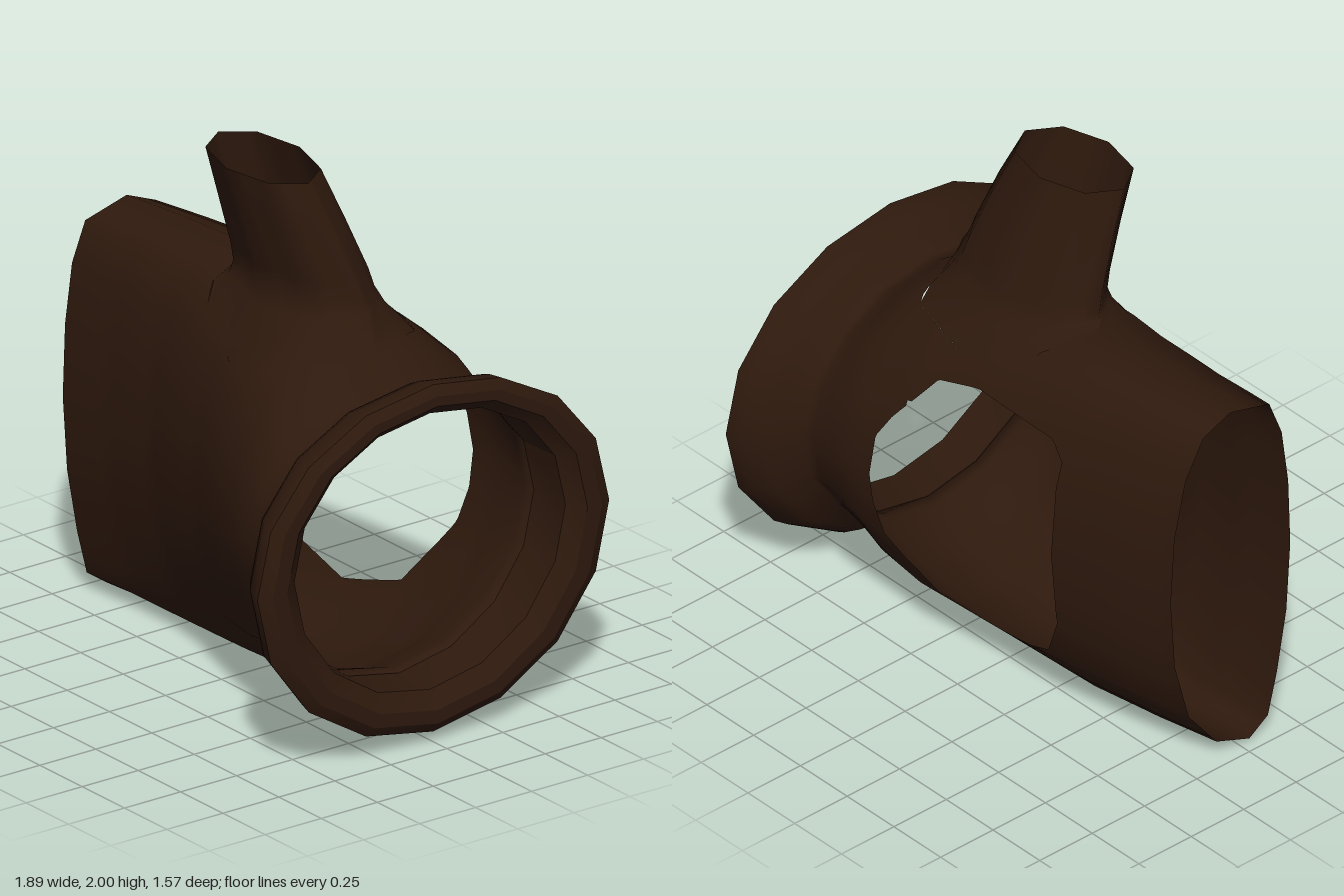
import * as THREE from 'three';
import { toCreasedNormals } from 'three/addons/utils/BufferGeometryUtils.js';

const { sin, cos, abs, sign, PI } = Math;
const V = (x, y, z) => new THREE.Vector3(x, y, z);

// Body sections: x, front z, back z, top y, bottom y
const STATIONS = [
  [-0.95, 0.24, -0.33, 1.48, 0.01], [-0.7, 0.24, -0.39, 1.485, 0.004],
  [-0.4, 0.272, -0.455, 1.492, 0], [0, 0.38, -0.54, 1.49, 0.025],
  [0.26, 0.475, -0.6, 1.455, 0.06], [0.46, 0.54, -0.618, 1.4, 0.115],
  [0.55, 0.56, -0.612, 1.355, 0.16], [0.65, 0.575, -0.602, 1.28, 0.197],
  [0.72, 0.6, -0.6, 1.255, 0.2], [0.77, 0.705, -0.705, 1.33, 0.106],
  [0.85, 0.765, -0.765, 1.369, 0.055], [0.92, 0.785, -0.785, 1.376, 0.04],
];

function station(x) {
  let i = 0;
  while (i < STATIONS.length - 2 && x > STATIONS[i + 1][0]) i++;
  const a = STATIONS[i], b = STATIONS[i + 1];
  const t = THREE.MathUtils.clamp((x - a[0]) / (b[0] - a[0]), 0, 1);
  return a.map((v, k) => v + (b[k] - v) * t);
}

// Rounded point on the wall; angle 0 is the front, PI/2 the top, PI the back.
// The narrow end has fuller upper shoulders and a keel nearer the front.
function roundPoint(x, angle) {
  const [, zf, zb, yt, yb] = station(x);
  const c = cos(angle), s = sin(angle);
  const narrow = 1 - THREE.MathUtils.smoothstep(x, -0.95, 0.9);
  const fullness = s < 0 ? 0.12 : c > 0 ? 0.55 : 0.18;
  const keel = 0.09 * narrow * Math.max(0, -s) ** 6;
  return V(x, (yt + yb) / 2 + (yt - yb) / 2 * s + 0.03 * c * c,
    (zf + zb) / 2 + (zf - zb) / 2 * sign(c) * abs(c) ** (1 - fullness * narrow) + keel);
}

// The same wall with sixteen flat sides
function wallPoint(x, angle) {
  const step = PI / 8, k = Math.floor(angle / step + 1e-6);
  return roundPoint(x, k * step).lerp(roundPoint(x, (k + 1) * step), angle / step - k);
}

// Smooth normal of the rounded wall
function wallNormal(x, angle) {
  const dx = roundPoint(x + 0.05, angle).sub(roundPoint(x - 0.05, angle));
  const da = roundPoint(x, angle + 0.2).sub(roundPoint(x, angle - 0.2));
  return dx.cross(da).normalize();
}

// Unit circle cut to eight flat sides
function octagon(a) {
  const step = PI / 4, k = Math.floor(a / step + 1e-6), t = a / step - k;
  const mix = (f) => f(k * step) * (1 - t) + f((k + 1) * step) * t;
  return [mix(cos), mix(sin)];
}

const ring = (n, fn) => Array.from({ length: n }, (_, j) => fn(j / n * PI * 2));

// Openings are outlined in (x, angle) on the wall
const sideOpening = [
  [-0.44, 0.44], [-0.44, 1.14], [-0.38, 1.21], [-0.03, 1.255], [0.15, 1.22],
  [0.345, 0.92], [0.355, 0.62], [0.31, 0.47], [0.16, 0.25], [-0.09, 0.19], [-0.34, 0.25],
].map(([x, y]) => {
  const [, , , yt, yb] = station(x);
  return [x, PI - Math.asin((2 * y - yt - yb) / (yt - yb))];
});
const SIDES = 24;
const branchOpening = ring(SIDES, (a) => {
  const [c, s] = octagon(a);
  return [0.13 + 0.42 * c, PI / 2 + (s > 0 ? 0.64 : 0.8) * s];
});

function inside([px, py], poly) {
  let hit = false;
  poly.forEach(([ax, ay], i) => {
    const [bx, by] = poly[(i + 1) % poly.length];
    if ((ay > py) !== (by > py) && px < ax + (bx - ax) * (py - ay) / (by - ay)) hit = !hit;
  });
  return hit;
}

// Pull a grid point onto an outline when it lies close to it
function snap(p, poly, reach) {
  const s = 0.6;
  let best = reach, out = p;
  poly.forEach(([ax, ay], i) => {
    const [bx, by] = poly[(i + 1) % poly.length];
    const ex = bx - ax, ey = (by - ay) * s;
    const t = THREE.MathUtils.clamp(
      ((p[0] - ax) * ex + (p[1] - ay) * s * ey) / (ex * ex + ey * ey), 0, 1);
    const q = [ax + (bx - ax) * t, ay + (by - ay) * t];
    const d = Math.hypot(p[0] - q[0], (p[1] - q[1]) * s);
    if (d < best) { best = d; out = q; }
  });
  return out;
}

// Tapering wall and flare, with the two openings left out
function bodyGeometry() {
  const NX = 94, NA = 192, holes = [sideOpening, branchOpening];
  const params = [], pos = [], nor = [], index = [];
  for (let i = 0; i <= NX; i++) {
    for (let j = 0; j <= NA; j++) {
      let p = [-0.95 + 1.87 * i / NX, -PI / 2 + 2 * PI * j / NA];
      for (const h of holes) p = snap(p, h, 0.0135);
      params.push(p);
      pos.push(...wallPoint(...p).toArray());
      nor.push(...wallNormal(...p).toArray());
    }
  }
  const add = (...tri) => {
    const mid = [0, 1].map((k) => tri.reduce((sum, v) => sum + params[v][k], 0) / 3);
    if (!holes.some((h) => inside(mid, h))) index.push(...tri);
  };
  for (let i = 0; i < NX; i++) {
    for (let j = 0; j < NA; j++) {
      const a = i * (NA + 1) + j, b = a + NA + 1;
      add(a, b, a + 1);
      add(b, b + 1, a + 1);
    }
  }
  const g = new THREE.BufferGeometry();
  g.setAttribute('position', new THREE.Float32BufferAttribute(pos, 3));
  g.setAttribute('normal', new THREE.Float32BufferAttribute(nor, 3));
  g.setIndex(index);
  return g;
}

// Skin over a list of closed rings
function loft(rings) {
  const n = rings[0].length, index = [];
  for (let i = 0; i < rings.length - 1; i++) {
    for (let j = 0; j < n; j++) {
      const a = i * n + j, b = i * n + (j + 1) % n;
      index.push(a, a + n, b, a + n, b + n, b);
    }
  }
  const g = new THREE.BufferGeometry().setFromPoints(rings.flat());
  g.setIndex(index);
  g.computeVertexNormals();
  return g;
}

// Leaning branch, from its open top down to the body
function branchGeometry() {
  // y, centre x, half x, centre z, half z, drop towards +x, drop at both sides
  const rings = [
    [1.987, 0.045, 0.265, 0.098, 0.164, 0.013, 0], [1.79, 0.08, 0.3, 0.04, 0.172, 0, 0],
    [1.6, 0.1, 0.335, -0.022, 0.18, 0, 0], [1.53, 0.107, 0.347, -0.037, 0.183, 0, 0],
    [1.497, 0.112, 0.365, -0.045, 0.215, 0.01, 0.04],
  ].map(([y, cx, rx, cz, rz, tilt, drop]) => ring(SIDES, (a) => {
    const [c, s] = octagon(a);
    return V(cx + rx * c, y - tilt * c - drop * s * s, cz - rz * s);
  }));
  const g = loft([...rings, branchOpening.map((p) => wallPoint(...p))]);
  // Blend the shading of the foot into the body
  branchOpening.forEach((p, j) => {
    g.attributes.normal.setXYZ(rings.length * SIDES + j, ...wallNormal(...p).toArray());
  });
  return g;
}

export function createModel() {
  const group = new THREE.Group();
  const material = new THREE.MeshStandardMaterial({ color: 0x2e190d, side: THREE.DoubleSide });
  const add = (name, geometry) => {
    const mesh = new THREE.Mesh(geometry, material);
    mesh.name = name;
    group.add(mesh);
  };

  add('body', bodyGeometry());
  add('branch', branchGeometry());

  // Thick lip of the flare: x, half width, half height, centre y
  const lip = [
    [0.92, 0.785, 0.668, 0.708], [0.945, 0.735, 0.63, 0.708], [0.945, 0.67, 0.585, 0.715],
    [0.9, 0.605, 0.532, 0.7275], [0.72, 0.6, 0.5275, 0.7275],
  ].map(([x, w, h, y]) => ring(16, (a) => V(x, y + h * sin(a) + 0.03 * cos(a) ** 2, w * cos(a))));
  add('flareLip', toCreasedNormals(loft(lip), 0.45));

  return group;
}
